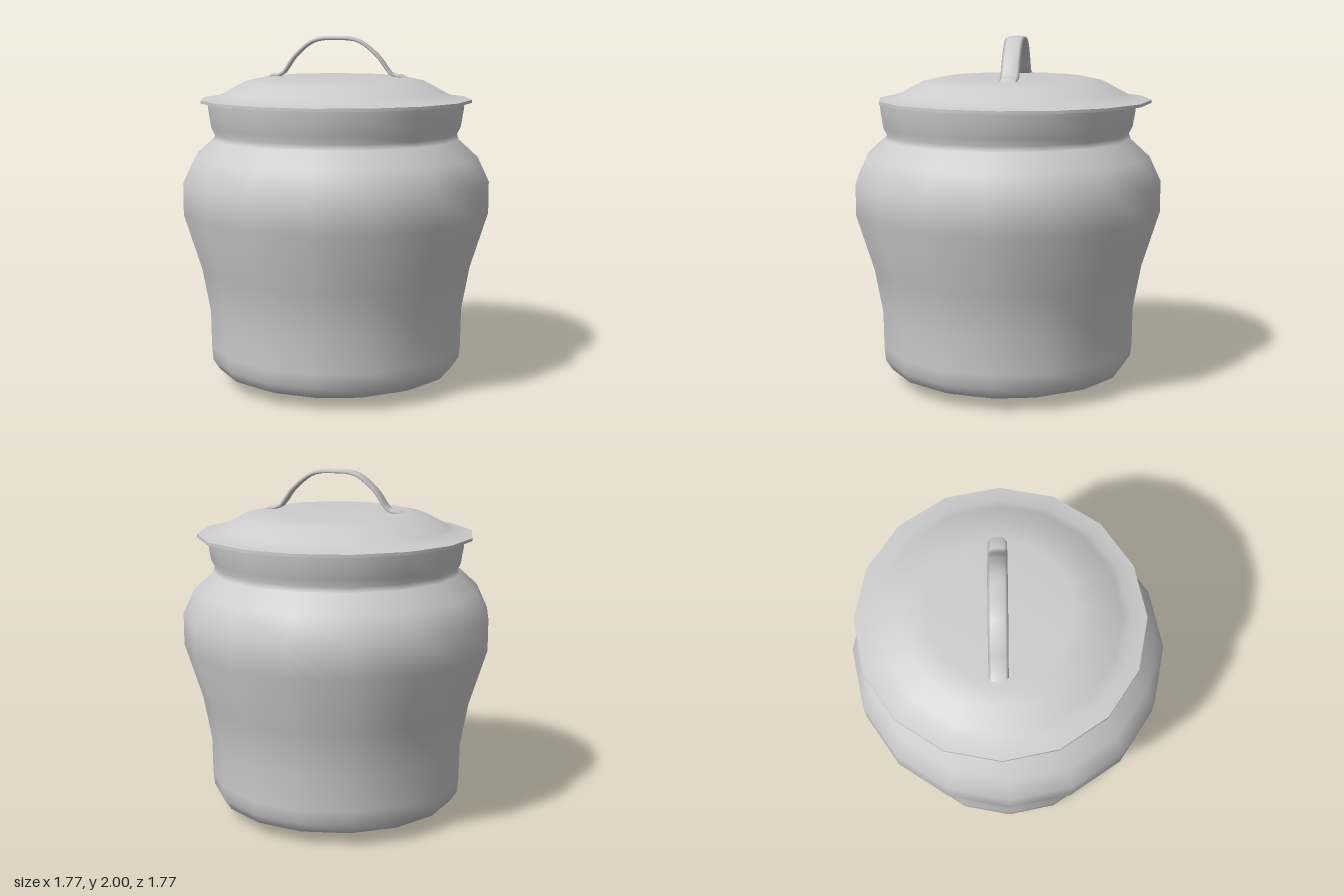
import * as THREE from 'three';

const SIDES = 16;

// Surface of revolution from [radius, height] pairs, listed bottom to top
function turned(name, profile, material) {
  const points = profile.map(([r, y]) => new THREE.Vector2(r, y));
  const mesh = new THREE.Mesh(new THREE.LatheGeometry(points, SIDES), material);
  mesh.name = name;
  return mesh;
}

export function createModel() {
  const model = new THREE.Group();
  model.name = 'lidded jar';
  const grey = new THREE.MeshStandardMaterial({ color: 0xcccccc });
  grey.name = 'grey glaze';

  // Bellied pot with a pinched neck and flared collar
  model.add(turned('pot', [
    [0, 0], [0.42, 0.02], [0.6, 0.045], [0.69, 0.08], [0.73, 0.14], [0.737, 0.22],
    [0.74, 0.43], [0.785, 0.68], [0.885, 1.0], [0.885, 1.18], [0.82, 1.32],
    [0.71, 1.42], [0.7, 1.45], [0.72, 1.49], [0.735, 1.58], [0.74, 1.63],
  ], grey));

  // Lid sits slightly off centre; separate skins keep its rim sharp
  const lid = new THREE.Group();
  lid.name = 'lid';
  lid.add(turned('lidUnderside', [[0, 1.625], [0.785, 1.625]], grey));
  lid.add(turned('lidRim', [[0.785, 1.625], [0.785, 1.642]], grey));
  lid.add(turned('lidTop', [
    [0.785, 1.642], [0.7, 1.652], [0.65, 1.675], [0.53, 1.74], [0.4, 1.768], [0, 1.77],
  ], grey));
  lid.position.set(-0.005, 0, -0.04);
  model.add(lid);

  // Arched strap handle: a thin tube widened along z, ends sunk into the lid
  const path = new THREE.CatmullRomCurve3([
    [-0.405, 1.755], [-0.375, 1.773], [-0.325, 1.779], [-0.24, 1.89], [-0.13, 1.975], [0, 1.988],
    [0.12, 1.975], [0.235, 1.89], [0.325, 1.779], [0.375, 1.773], [0.41, 1.755],
  ].map(([x, y]) => new THREE.Vector3(x, y, 0)));
  const strap = new THREE.TubeGeometry(path, 28, 0.012, 8, false);
  strap.scale(1, 1, 0.0525 / 0.012);
  const handle = new THREE.Mesh(strap, grey);
  handle.name = 'handle';
  handle.position.z = -0.053;
  model.add(handle);

  return model;
}
